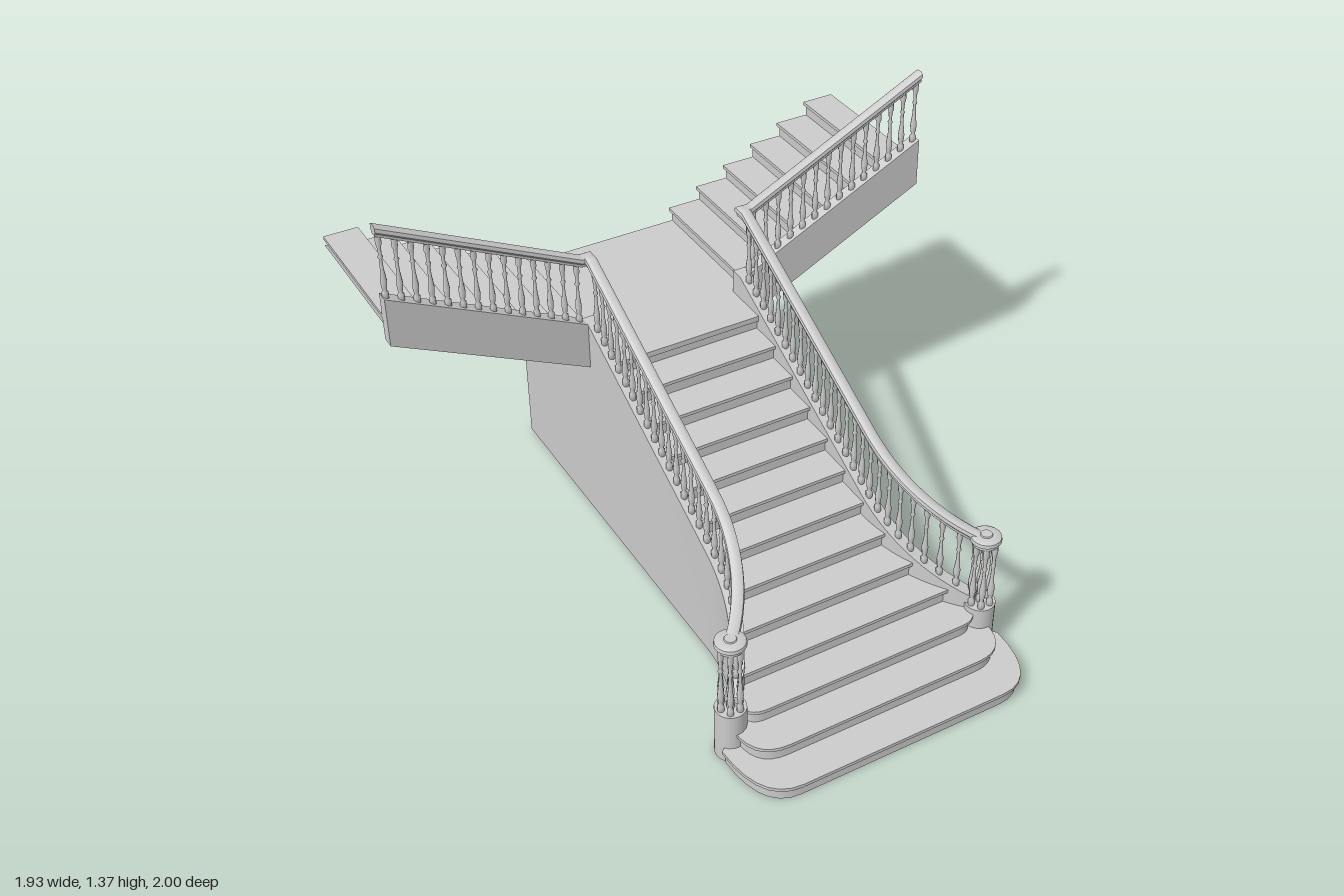
import * as THREE from 'three';
import { toCreasedNormals } from 'three/addons/utils/BufferGeometryUtils.js';

const RISE = 0.0548, GOING = 0.11, NOSE = 0.012;
const RAIL_X = 0.283, RAIL_Z = -0.467, FLARE_Z = 0.33, FLARE_R = 0.556;
const material = new THREE.MeshStandardMaterial({ color: 0xcccccc, side: THREE.DoubleSide });

// Centre line of the flared main balustrade, and the slopes it follows
const flareX = (z) => {
  const d = Math.min(Math.max(z - FLARE_Z, 0), 0.4);
  return RAIL_X + FLARE_R - Math.sqrt(FLARE_R ** 2 - d * d);
};
const mainTop = (z) => 0.8 - 0.505 * (Math.max(z, -0.445) + 0.45);
const sideTop = (x) => 0.8 + 0.485 * Math.max(x - 0.305, 0);

function add(parent, name, geometry, x = 0, y = 0, z = 0) {
  const mesh = new THREE.Mesh(geometry, material);
  mesh.name = name;
  mesh.position.set(x, y, z);
  parent.add(mesh);
  return mesh;
}

function addBox(parent, name, x0, x1, y0, y1, z0, z1) {
  add(parent, name, new THREE.BoxGeometry(x1 - x0, y1 - y0, z1 - z0),
    (x0 + x1) / 2, (y0 + y1) / 2, (z0 + z1) / 2);
}

// Sweep upright cross-sections [across, up] along a path, mitred at the bends
function sweep(path, section, closed = true) {
  const pos = [], index = [], last = path.length - 1;
  const dir = (a, b) => new THREE.Vector2(b.x - a.x, b.z - a.z).normalize();
  let n = 0;
  path.forEach((p, i) => {
    const t0 = dir(path[Math.max(i - 1, 0)], path[Math.max(i, 1)]);
    const t1 = dir(path[Math.min(i, last - 1)], path[Math.min(i + 1, last)]);
    const t = t0.clone().add(t1).normalize(), k = 1 / t.dot(t0);
    const ring = section(p);
    n = ring.length;
    ring.forEach(([u, v]) => pos.push(p.x - t.y * u * k, p.y + v, p.z + t.x * u * k));
  });
  for (let i = 0; i < last; i++) {
    for (let j = 0; j < (closed ? n : n - 1); j++) {
      const a = i * n + j, b = i * n + (j + 1) % n, c = b + n, d = a + n;
      index.push(a, d, c, a, c, b);
    }
  }
  if (closed) {
    const e = last * n;
    for (let j = 1; j < n - 1; j++) index.push(0, j, j + 1, e, e + j + 1, e + j);
  }
  const g = new THREE.BufferGeometry();
  g.setAttribute('position', new THREE.Float32BufferAttribute(pos, 3));
  g.setIndex(index);
  return toCreasedNormals(g, 0.6);
}

// Flat plate from a plan outline of [x, z] points
function plate(points, thickness) {
  const shape = new THREE.Shape(points.map(([x, z]) => new THREE.Vector2(x, -z)));
  return new THREE.ExtrudeGeometry(shape, { depth: thickness, bevelEnabled: false }).rotateX(-Math.PI / 2);
}

const mirrored = (half) => [...half, ...half.map(([x, z]) => [-x, z]).reverse()];

// Rounded bottom steps: half width, where the side starts, where the front straightens
const ROUNDED = [[0.505, 0.77, 0.36], [0.46, 0.76, 0.34], [0.42, 0.72, 0.35]];
const BACKS = [0.73, 0.72, 0.64];

// Right half of a step's front edge, from the side to the middle
function frontEdge(k, inset) {
  const z = 1 - GOING * k - inset;
  if (k >= ROUNDED.length) return [[flareX(z), z]];
  const [w, zs, xf] = ROUNDED[k];
  const curve = new THREE.QuadraticBezierCurve(new THREE.Vector2(w - inset, zs),
    new THREE.Vector2(w - inset, z), new THREE.Vector2(xf, z));
  return curve.getPoints(7).map((p) => [p.x, p.y]);
}

function mainFlight() {
  const flight = new THREE.Group();
  flight.name = 'mainFlight';
  for (let k = 0; k < 13; k++) {
    const y = RISE * (k + 1), z = 1 - GOING * k;
    // Riser, set back under the nosing
    const line = mirrored(frontEdge(k, NOSE)).map(([x, pz]) => new THREE.Vector3(x, y, pz));
    add(flight, 'riser', sweep(line, () => [[0, -RISE], [0, -NOSE]], false));
    if (k === 12) break;
    // Tread, its ends following the flare
    const sides = k < 3 ? [BACKS[k]] : [z - 0.045, z - 0.09, z - GOING - 0.015];
    const half = [...sides.map((s) => [flareX(s), s]).reverse(), ...frontEdge(k, 0)];
    add(flight, 'tread', plate(mirrored(half), NOSE), 0, y - NOSE, 0);
  }
  return flight;
}

function balusterGeometry() {
  const profile = [[0, 0], [0.011, 0], [0.011, 0.022], [0.006, 0.028], [0.009, 0.04], [0.011, 0.062],
    [0.006, 0.105], [0.005, 0.14], [0.009, 0.147], [0.005, 0.155], [0.007, 0.185], [0.01, 0.192], [0.01, 0.225]];
  return new THREE.LatheGeometry(profile.map(([r, y]) => new THREE.Vector2(r, y)), 8);
}

// One half of the stair on the model's left
function leftHalf() {
  const half = new THREE.Group();
  half.name = 'leftSide';
  const V = (x, y, z) => new THREE.Vector3(x, y, z);

  // Main stringer wall down to the floor
  const bend = [];
  for (let i = 0; i <= 14; i++) {
    const z = 0.72 - (0.72 - FLARE_Z) * i / 14;
    bend.push(V(flareX(z), 0, z));
  }
  const wallPath = [...bend, V(RAIL_X, 0, -0.445), V(RAIL_X, 0, -0.49)];
  add(half, 'mainStringer', sweep(wallPath, (p) => {
    const h = mainTop(p.z);
    return [[-0.022, 0], [0.022, 0], [0.022, h], [-0.022, h]];
  }));

  // Thin wall under the landing
  add(half, 'landingWall', sweep([V(0.305, 0, -0.49), V(0.305, 0, -1)],
    () => [[0, 0], [0, 0.69]], false));

  // Side stringer
  add(half, 'sideStringer', sweep([V(0.305, 0.8, RAIL_Z), V(0.965, sideTop(0.965), RAIL_Z)],
    () => [[-0.022, -0.17], [0.022, -0.17], [0.022, 0], [-0.022, 0]]));

  // Handrail, turning the corner onto the side flight
  const railPath = [...bend.map((p) => V(p.x, mainTop(p.z), p.z)),
    V(RAIL_X, 0.8, -0.44), V(RAIL_X, 0.8, RAIL_Z), V(0.31, 0.8, RAIL_Z), V(0.965, sideTop(0.965), RAIL_Z)];
  add(half, 'handrail', sweep(railPath, () => [[-0.013, 0.216], [0.013, 0.216], [0.014, 0.226],
    [0.02, 0.233], [0.018, 0.246], [0.009, 0.252], [-0.009, 0.252], [-0.018, 0.246], [-0.02, 0.233], [-0.014, 0.226]]));

  // Balusters
  const baluster = balusterGeometry();
  for (let i = 0; i < 24; i++) {
    const z = 0.67 - i * 0.0475;
    add(half, 'baluster', baluster, flareX(z), mainTop(z) - 0.005, z);
  }
  for (let i = 0; i < 14; i++) {
    const x = 0.325 + i * 0.0483;
    add(half, 'baluster', baluster, x, sideTop(x) - 0.005, RAIL_Z);
  }

  // Round newel: pedestal, ring of balusters and scroll cap
  const newel = new THREE.Group();
  newel.name = 'newel';
  newel.position.set(0.453, 0, 0.73);
  half.add(newel);
  add(newel, 'pedestal', new THREE.CylinderGeometry(0.05, 0.05, 0.185, 20), 0, 0.0925, 0);
  for (let i = 0; i < 6; i++) {
    const a = i * Math.PI / 3;
    add(newel, 'newelBaluster', baluster, 0.033 * Math.cos(a), 0.18, 0.033 * Math.sin(a)).scale.y = 1.13;
  }
  add(newel, 'newelPost', baluster, 0, 0.18, 0).scale.set(1.2, 1.13, 1.2);
  const cap = [[0, 0], [0.042, 0], [0.043, 0.01], [0.05, 0.016], [0.048, 0.028], [0.04, 0.033], [0.02, 0.033], [0.018, 0.037], [0, 0.037]];
  add(newel, 'scrollCap', toCreasedNormals(new THREE.LatheGeometry(
    cap.map(([r, y]) => new THREE.Vector2(r, y)), 20), 0.6), 0, 0.427, 0);

  // Side flight: six steps over a sloping soffit
  for (let j = 0; j < 6; j++) {
    const x = 0.29 + j * 0.1115, y = RISE * (14 + j);
    addBox(half, 'sideTread', x, j === 5 ? 0.965 : x + 0.126, y - NOSE, y, -1, -0.488);
    add(half, 'sideRiser', sweep([V(x + NOSE, y, -0.488), V(x + NOSE, y, -1)],
      () => [[0, -RISE], [0, -NOSE]], false));
  }
  add(half, 'soffit', sweep([V(0.305, 0.69, -0.744), V(0.965, 1.01, -0.744)],
    () => [[-0.256, 0], [0.256, 0]], false));
  return half;
}

export function createModel() {
  const model = new THREE.Group();
  model.name = 'splitStaircase';
  model.add(mainFlight());

  // Landing, narrower where it passes between the stringers
  const edge = [[0.305, -1], [0.305, -0.488], [0.27, -0.488], [0.27, 1 - 12 * GOING]];
  add(model, 'landing', plate(mirrored(edge), 0.02), 0, 13 * RISE - 0.02, 0);

  const left = leftHalf();
  const right = left.clone();
  right.name = 'rightSide';
  right.scale.x = -1;
  model.add(left, right);
  return model;
}
